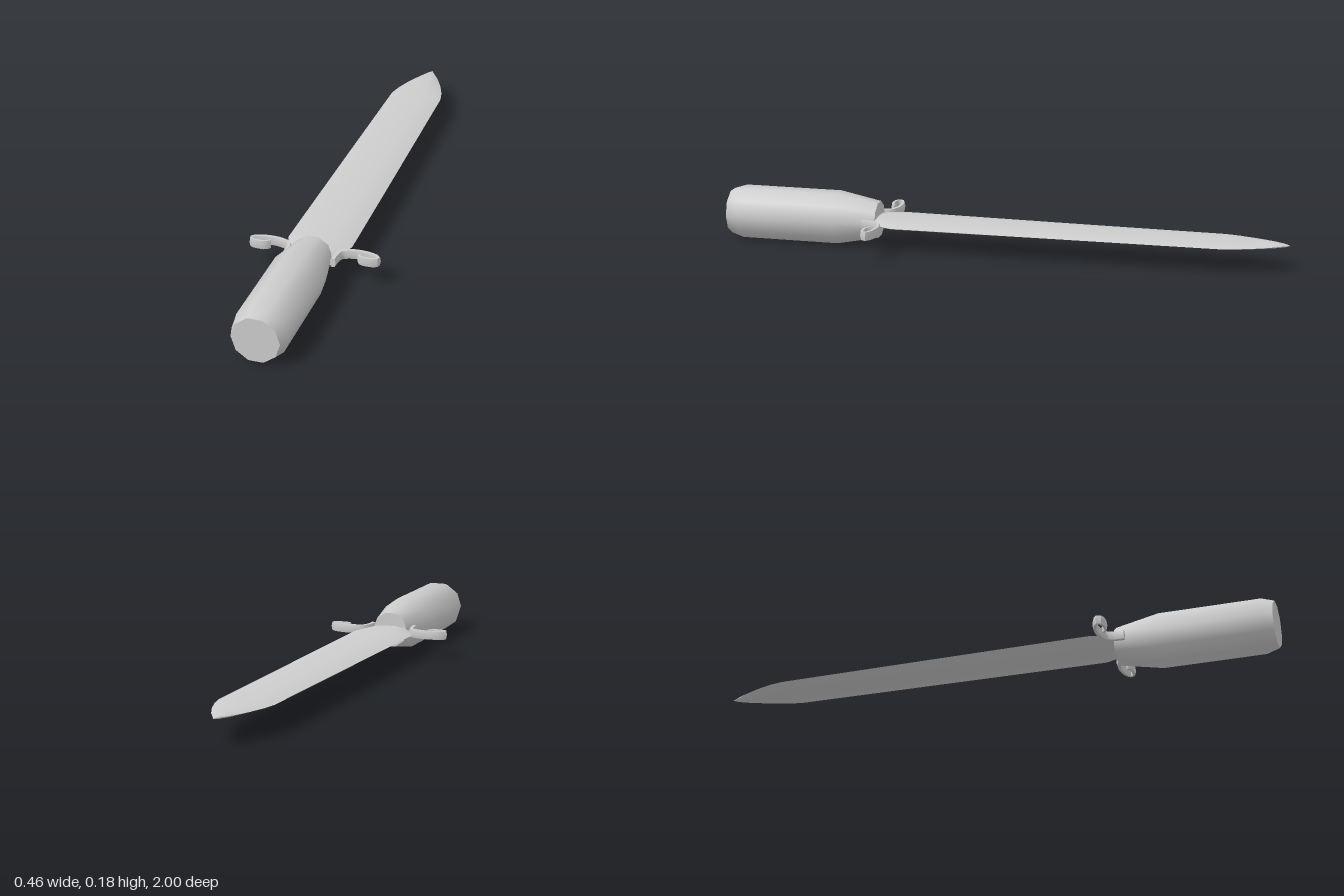
import * as THREE from 'three';
import { toCreasedNormals } from 'three/addons/utils/BufferGeometryUtils.js';

const MID = 0.0915; // height of the centre line

// Sweep a section through stations [x, z, halfWidth, halfHeight], capping both ends
function loft(section, stations, material, name) {
  const n = section.length, last = stations.length - 1;
  const positions = [], index = [];
  stations.forEach(([x, z, w, h], i) => {
    const a = stations[Math.max(i - 1, 0)], b = stations[Math.min(i + 1, last)];
    const t = new THREE.Vector2(b[0] - a[0], b[1] - a[1]).normalize();
    for (const [u, v] of section) positions.push(x + t.y * u * w, MID + v * h, z - t.x * u * w);
  });
  for (let i = 0; i < last; i++) {
    for (let j = 0; j < n; j++) {
      const a = i * n + j, b = i * n + (j + 1) % n;
      index.push(a, b, b + n, a, b + n, a + n);
    }
  }
  for (let j = 1; j < n - 1; j++) {
    index.push(0, j + 1, j);
    index.push(last * n, last * n + j, last * n + j + 1);
  }
  const geometry = new THREE.BufferGeometry();
  geometry.setAttribute('position', new THREE.Float32BufferAttribute(positions, 3));
  geometry.setIndex(index);
  const mesh = new THREE.Mesh(toCreasedNormals(geometry, 0.7), material);
  mesh.name = name;
  return mesh;
}

export function createModel() {
  const group = new THREE.Group();
  group.name = 'dagger';
  const steel = new THREE.MeshStandardMaterial({ color: 0xcccccc });
  steel.name = 'steel grey';

  // Ten-sided grip with a bevelled butt and a tapered neck
  const decagon = Array.from({ length: 10 }, (_, i) => {
    const a = i * Math.PI / 5;
    return [Math.cos(a), Math.sin(a)];
  });
  const grip = [[1, 0.081], [0.955, 0.095], [0.6, 0.095], [0.45, 0.066]];
  group.add(loft(decagon, grip.map(([z, r]) => [0, z, r, r]), steel, 'handle'));

  // Thin blade with bevelled edges and a pointed tip
  const bladeSection = [[1, 0], [0.72, 0.72], [0.3, 1], [-0.3, 1], [-0.72, 0.72],
    [-1, 0], [-0.72, -0.72], [-0.3, -1], [0.3, -1], [0.72, -0.72]];
  const blade = [
    [0.48, 0.06, 0.015], [0.43, 0.09, 0.015], [0.38, 0.112, 0.015], [0.35, 0.112, 0.015],
    [-0.2, 0.105, 0.012], [-0.77, 0.097, 0.01], [-0.82, 0.087, 0.01], [-0.88, 0.066, 0.009],
    [-0.94, 0.038, 0.008], [-0.98, 0.013, 0.006], [-1, 0.001, 0.001],
  ];
  group.add(loft(bladeSection, blade.map(([z, w, h]) => [0, z, w, h]), steel, 'blade'));

  // Scrolled guard arms, mirrored
  const band = [[1, 0], [0.6, 1], [-0.6, 1], [-1, 0], [-0.6, -1], [0.6, -1]];
  const scroll = new THREE.CatmullRomCurve3([
    [0.082, 0.492], [0.084, 0.46], [0.092, 0.433], [0.118, 0.42], [0.155, 0.415], [0.195, 0.42],
    [0.222, 0.434], [0.217, 0.447], [0.19, 0.452], [0.165, 0.449], [0.155, 0.438],
  ].map(([x, z]) => new THREE.Vector3(x, 0, z)));
  for (const side of [1, -1]) {
    const stations = scroll.getSpacedPoints(24).map((p, i) =>
      [side * p.x, p.z, 0.011 - 0.005 * i / 24, 0.0155]);
    group.add(loft(band, stations, steel, side > 0 ? 'leftGuard' : 'rightGuard'));
  }
  return group;
}
